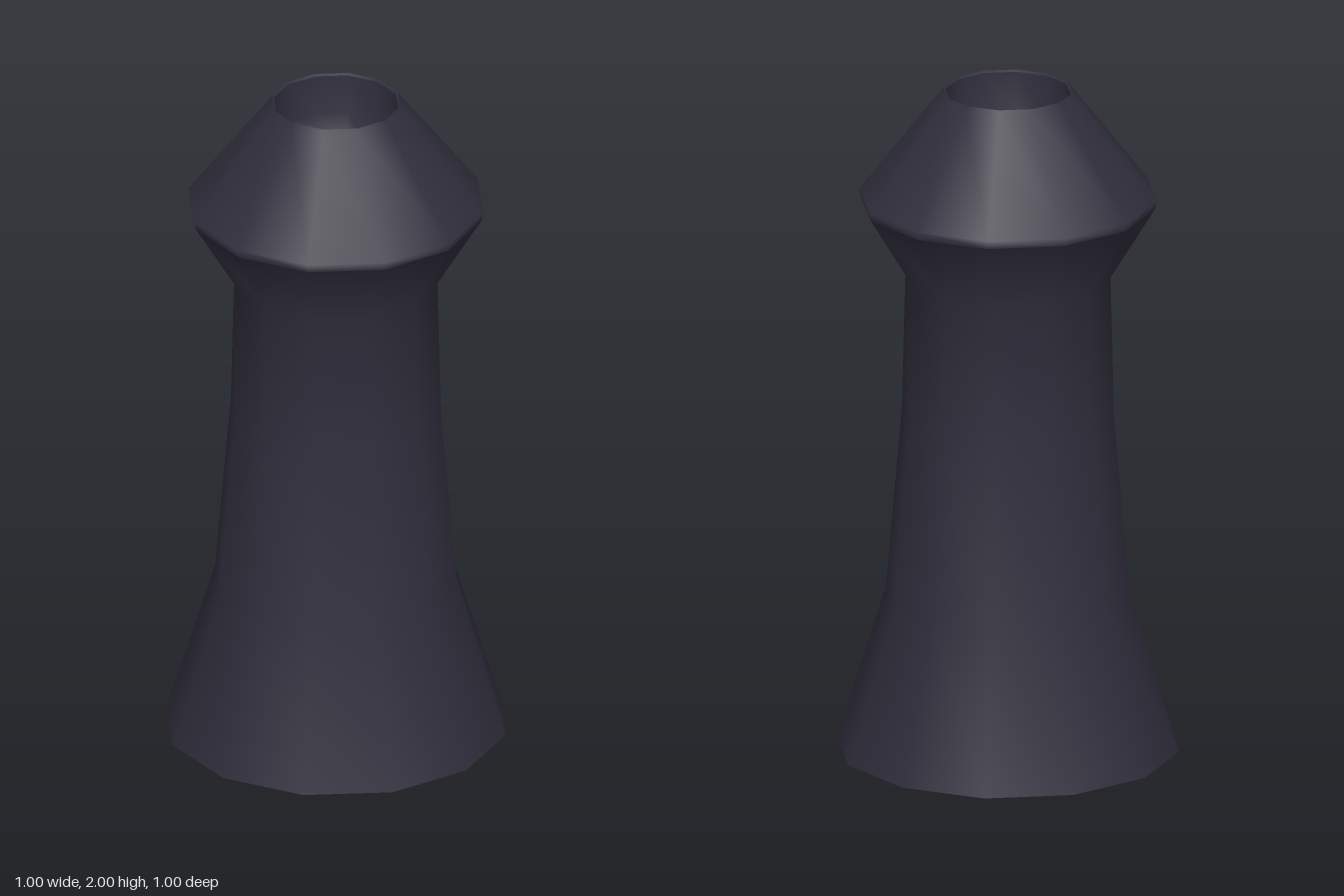
import * as THREE from 'three';

const SIDES = 12;

export function createModel() {
  const group = new THREE.Group();
  const charcoal = new THREE.MeshStandardMaterial({ color: 0x302e3c, side: THREE.DoubleSide });
  charcoal.name = 'charcoal';

  // Each part is a smooth twelve-sided turned shell
  const turn = (name, profile) => {
    const points = profile.map(([r, y]) => new THREE.Vector2(r, y));
    const mesh = new THREE.Mesh(new THREE.LatheGeometry(points, SIDES), charcoal);
    mesh.name = name;
    group.add(mesh);
  };

  // Flared hollow foot, tapering shaft and the underside of the head
  turn('body', [[0.5, 0], [0.357, 0.47], [0.31, 1.02], [0.3, 1.44], [0.43, 1.655]]);

  // Sloping head with a narrow edge at its widest point
  turn('head', [[0.43, 1.655], [0.435, 1.68], [0.2, 1.985], [0.19, 2]]);

  // Thin lip around the opening
  turn('rim', [[0.19, 2], [0.183, 1.995]]);

  // Rounded hollow in the top
  turn('bowl', [[0.183, 1.995], [0.175, 1.88], [0.14, 1.79], [0.08, 1.74], [0, 1.725]]);

  return group;
}
